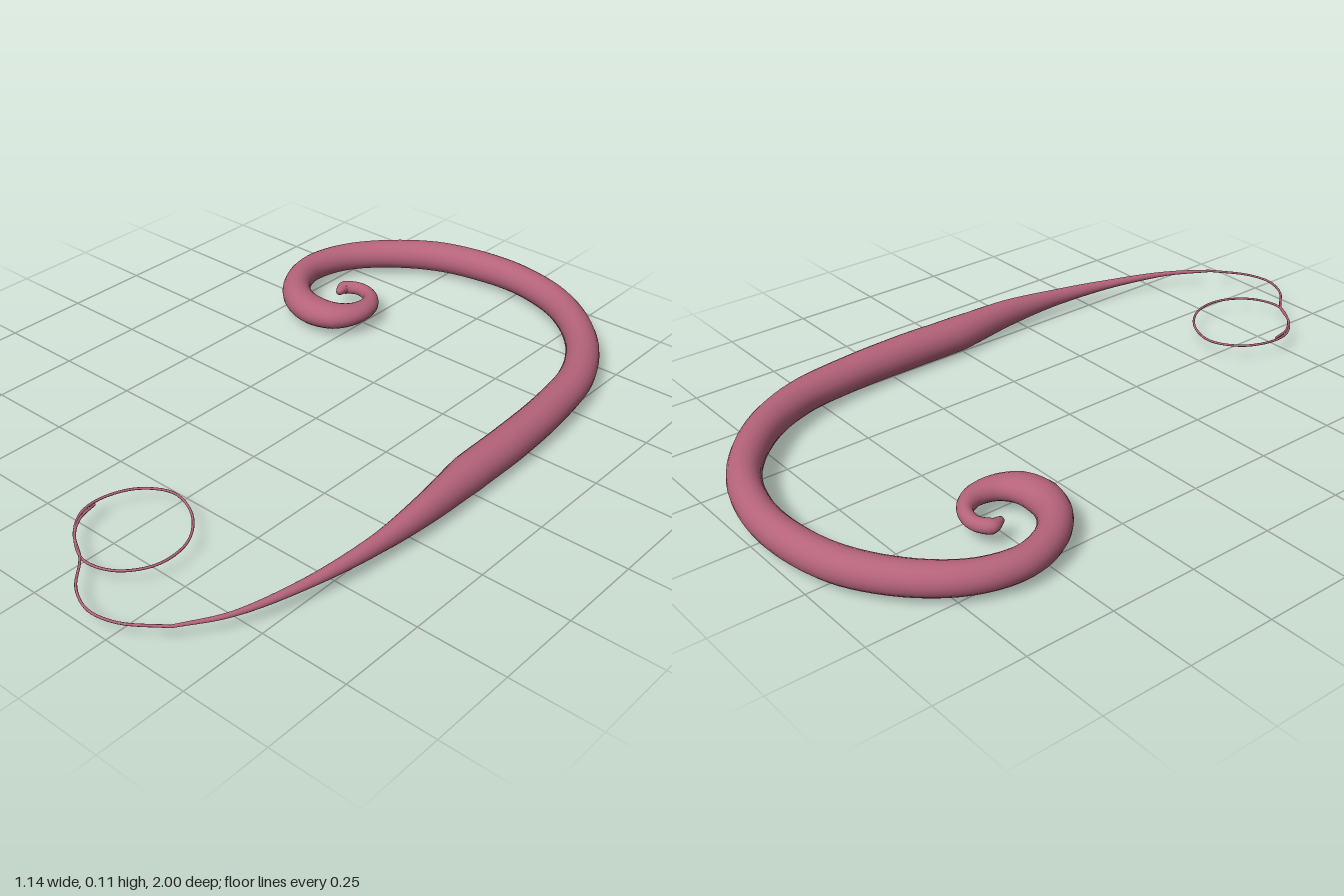
import * as THREE from 'three';

// Stations: x, z, centre height, half width in plan, half height
const BODY = [
  [-0.365, -0.525, 0.06, 0.012, 0.012],
  [-0.370, -0.553, 0.06, 0.021, 0.020],
  [-0.332, -0.577, 0.06, 0.018, 0.020],
  [-0.275, -0.562, 0.06, 0.021, 0.023],
  [-0.238, -0.510, 0.06, 0.029, 0.027],
  [-0.240, -0.445, 0.06, 0.037, 0.032],
  [-0.278, -0.396, 0.06, 0.047, 0.038],
  [-0.345, -0.381, 0.06, 0.050, 0.042],
  [-0.425, -0.405, 0.06, 0.046, 0.043],
  [-0.497, -0.475, 0.06, 0.042, 0.043],
  [-0.534, -0.580, 0.06, 0.040, 0.042],
  [-0.510, -0.700, 0.06, 0.041, 0.043],
  [-0.428, -0.812, 0.06, 0.044, 0.045],
  [-0.285, -0.912, 0.061, 0.046, 0.048],
  [-0.130, -0.953, 0.061, 0.046, 0.048],
  [0.030, -0.953, 0.062, 0.045, 0.046],
  [0.210, -0.893, 0.062, 0.045, 0.047],
  [0.375, -0.750, 0.062, 0.048, 0.048],
  [0.468, -0.580, 0.061, 0.050, 0.049],
  [0.503, -0.390, 0.059, 0.051, 0.051],
  [0.516, -0.190, 0.057, 0.052, 0.054],
  [0.518, 0.000, 0.056, 0.051, 0.053],
  [0.531, 0.190, 0.058, 0.036, 0.042],
  [0.528, 0.370, 0.055, 0.023, 0.027],
  [0.500, 0.580, 0.052, 0.015, 0.014],
  [0.442, 0.785, 0.050, 0.007, 0.007],
  [0.368, 0.907, 0.050, 0.004, 0.004]
];

// Hair-thin end and its loop: x, z
const THREAD = [
  [0.368, 0.907], [0.270, 0.977], [0.188, 0.993], [0.108, 0.960], [0.030, 0.880],
  [-0.055, 0.825], [-0.107, 0.755], [-0.112, 0.680], [-0.075, 0.597], [0.005, 0.550],
  [0.105, 0.582], [0.178, 0.670], [0.185, 0.775], [0.130, 0.855], [0.045, 0.880],
  [-0.045, 0.832], [-0.090, 0.775], [-0.106, 0.715]
].map(([x, z], i) => [x, z, 0.05, i ? 0.0035 : 0.004, i ? 0.0035 : 0.004]);

// Sweeps an elliptical section along a flat path, closing both ends to a point
function sweep(stations, sides, perSpan) {
  const path = new THREE.CatmullRomCurve3(stations.map(([x, z, y]) => new THREE.Vector3(x, y, z)));
  const spans = stations.length - 1, steps = spans * perSpan;
  const up = new THREE.Vector3(0, 1, 0), pos = [], idx = [];
  const ring = (t, scale, push) => {
    const f = Math.min(t * spans, spans - 1e-6), k = Math.floor(f);
    const mix = (n) => THREE.MathUtils.lerp(stations[k][n], stations[k + 1][n], f - k) * scale;
    const tangent = path.getTangent(t).setY(0).normalize();
    const side = new THREE.Vector3().crossVectors(tangent, up);
    const c = path.getPoint(t).addScaledVector(tangent, push);
    for (let j = 0; j < sides; j++) {
      const a = (j / sides) * Math.PI * 2;
      const p = c.clone().addScaledVector(side, Math.cos(a) * mix(3));
      pos.push(p.x, p.y + Math.sin(a) * mix(4), p.z);
    }
  };
  const r0 = stations[0][3], r1 = stations[spans][3];
  ring(0, 0, -r0);
  ring(0, 0.7, -r0 * 0.7);
  for (let i = 0; i <= steps; i++) ring(i / steps, 1, 0);
  ring(1, 0.7, r1 * 0.7);
  ring(1, 0, r1);
  for (let i = 0; i < steps + 4; i++) {
    for (let j = 0; j < sides; j++) {
      const a = i * sides + j, b = i * sides + (j + 1) % sides;
      idx.push(a, a + sides, b, b, a + sides, b + sides);
    }
  }
  const geo = new THREE.BufferGeometry();
  geo.setAttribute('position', new THREE.Float32BufferAttribute(pos, 3));
  geo.setIndex(idx);
  geo.computeVertexNormals();
  return geo;
}

export function createModel() {
  const group = new THREE.Group();
  group.name = 'tendril';
  const rose = new THREE.MeshStandardMaterial({ color: 0xb5637b });
  rose.name = 'dustyRose';

  const add = (name, geometry) => {
    const mesh = new THREE.Mesh(geometry, rose);
    mesh.name = name;
    group.add(mesh);
  };
  add('curledBody', sweep(BODY, 20, 6));
  add('threadLoop', sweep(THREAD, 8, 6));
  return group;
}
